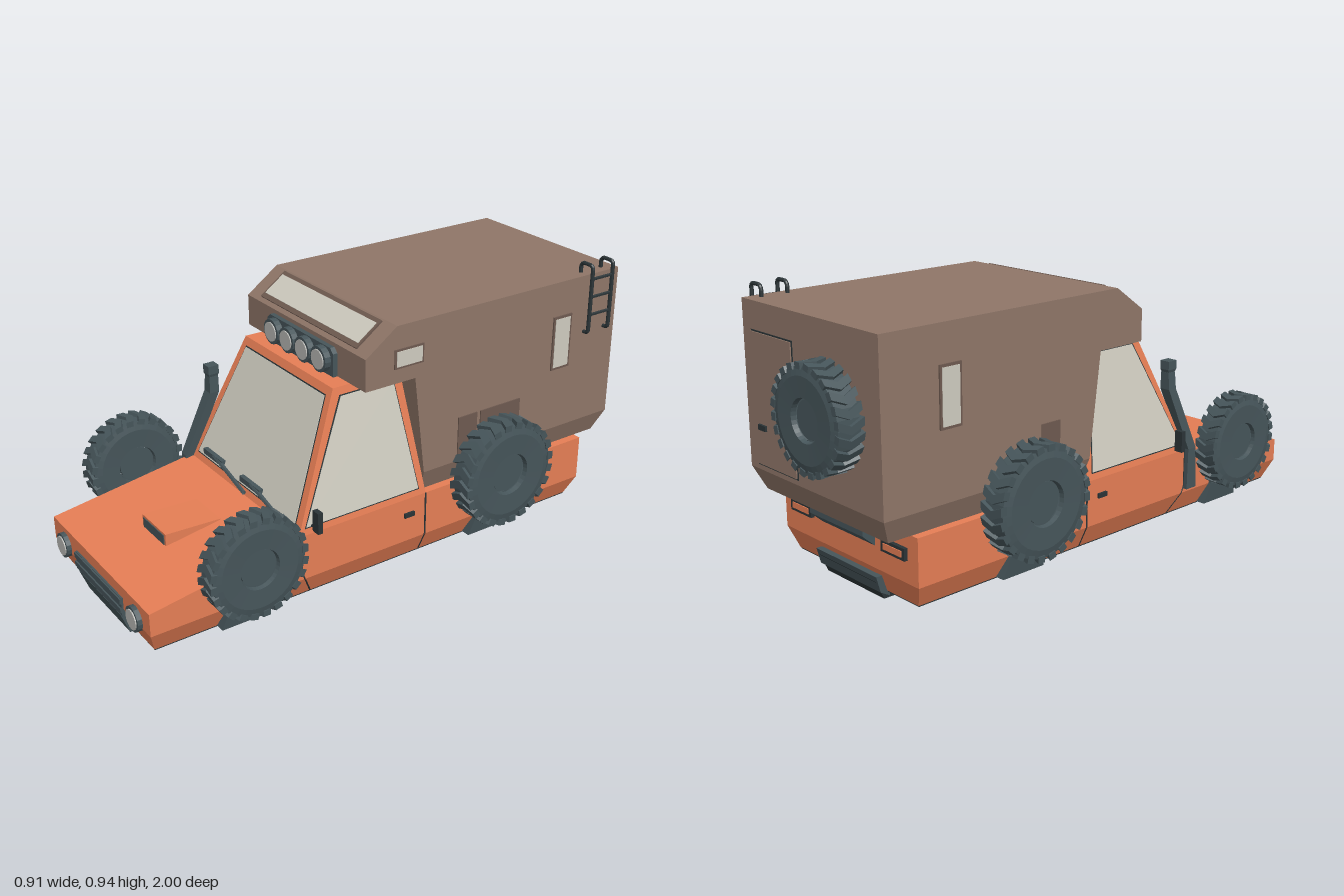
import * as THREE from 'three';
import { mergeGeometries } from 'three/addons/utils/BufferGeometryUtils.js';

const paint = (color) => new THREE.MeshStandardMaterial({ color, flatShading: true, side: THREE.DoubleSide });
const ORANGE = paint(0xe67e55), BROWN = paint(0x8f7668), TRIM = paint(0x6e5a50);
const DARK = paint(0x46555a), BLACK = paint(0x2b3437), GLASS = paint(0xcfccc0), LENS = paint(0xb9b9b5);
const V = (x, y, z) => new THREE.Vector3(x, y, z);

function add(parent, name, geometry, material) {
  const mesh = new THREE.Mesh(geometry, material);
  mesh.name = name;
  parent.add(mesh);
  return mesh;
}

// Box given by its limits on each axis
function box(parent, name, mat, [x0, x1], [y0, y1], [z0, z1]) {
  const g = new THREE.BoxGeometry(x1 - x0, y1 - y0, z1 - z0);
  g.translate((x0 + x1) / 2, (y0 + y1) / 2, (z0 + z1) / 2);
  return add(parent, name, g, mat);
}

// Solid through convex loops of corners, flipped outward if needed
function loft(parent, name, mat, loops) {
  const tris = [], n = loops[0].length, first = loops[0], last = loops[loops.length - 1];
  for (let k = 0; k + 1 < loops.length; k++)
    for (let i = 0; i < n; i++) {
      const j = (i + 1) % n, a = loops[k], b = loops[k + 1];
      tris.push([a[i], a[j], b[j]], [a[i], b[j], b[i]]);
    }
  for (let i = 1; i + 1 < n; i++)
    tris.push([first[0], first[i + 1], first[i]], [last[0], last[i], last[i + 1]]);
  const volume = tris.reduce((s, [a, b, c]) => s + a.dot(b.clone().cross(c)), 0);
  if (volume < 0) tris.forEach((t) => t.reverse());
  const g = new THREE.BufferGeometry().setFromPoints(tris.flat());
  g.computeVertexNormals();
  return add(parent, name, g, mat);
}
const rect = (y, x0, x1, z0, z1) => [V(x0, y, z0), V(x1, y, z0), V(x1, y, z1), V(x0, y, z1)];

// Plate raised from a face; corners run counter-clockwise seen from outside
function slab(parent, name, mat, c, t) {
  const n = c[1].clone().sub(c[0]).cross(c[2].clone().sub(c[0])).normalize();
  return loft(parent, name, mat, [c.map((p) => p.clone().addScaledVector(n, -0.004)), c.map((p) => p.clone().addScaledVector(n, t))]);
}

// Side profile of [z, y] points extruded across x
function profile(parent, name, mat, pts, halfX) {
  const shape = new THREE.Shape(pts.map(([z, y]) => new THREE.Vector2(-z, y)));
  const g = new THREE.ExtrudeGeometry(shape, { depth: 2 * halfX, bevelEnabled: false });
  g.translate(0, 0, -halfX).rotateY(Math.PI / 2);
  return add(parent, name, g, mat);
}

function bar(parent, name, mat, a, b, r) {
  return add(parent, name, new THREE.TubeGeometry(new THREE.LineCurve3(a, b), 1, r, 6), mat);
}

function disc(parent, name, mat, x, y, z0, z1, r) {
  const g = new THREE.CylinderGeometry(r, r, z1 - z0, 16).rotateX(Math.PI / 2);
  g.translate(x, y, (z0 + z1) / 2);
  return add(parent, name, g, mat);
}

// Off-road wheel, axle along x, with chevron tread blocks
function wheel(name, R, h) {
  const group = new THREE.Group();
  group.name = name;
  const pts = [[0.38, -0.6], [0.4, -0.95], [0.78, -1], [0.94, -0.85], [0.94, 0.85], [0.78, 1], [0.4, 0.95], [0.38, 0.6]];
  const tyre = new THREE.LatheGeometry(pts.map(([r, y]) => new THREE.Vector2(r * R, y * h)), 32);
  add(group, 'tyre', tyre.rotateZ(-Math.PI / 2), DARK);
  add(group, 'hub', new THREE.CylinderGeometry(0.355 * R, 0.355 * R, 1.2 * h, 24).rotateZ(Math.PI / 2), DARK);
  const lugs = [], count = 24;
  for (let i = 0; i < count; i++) {
    const lug = new THREE.BoxGeometry(1.96 * h, 0.12 * R, 0.15 * R, 4, 1, 1);
    const p = lug.attributes.position;
    for (let v = 0; v < p.count; v++) p.setZ(v, p.getZ(v) + Math.abs(p.getX(v)) * 0.45);
    lugs.push(lug.translate(0, 0.94 * R, 0).rotateX((i / count) * Math.PI * 2));
  }
  add(group, 'tread', mergeGeometries(lugs), DARK);
  return group;
}

export function createModel() {
  const model = new THREE.Group();
  model.name = 'camperTruck';

  // Orange body and cab
  loft(model, 'lowerBody', ORANGE, [rect(0.03, -0.315, 0.315, -0.74, 0.955), rect(0.105, -0.35, 0.35, -0.765, 0.98)]);
  profile(model, 'upperBody', ORANGE, [[0.98, 0.105], [0.98, 0.185], [0.45, 0.265], [-0.765, 0.265], [-0.765, 0.105]], 0.35);
  loft(model, 'cab', ORANGE, [rect(0.265, -0.35, 0.35, -0.055, 0.45), rect(0.7, -0.265, 0.265, 0, 0.26)]);
  const screenZ = (y) => 0.45 - ((y - 0.265) * 0.19) / 0.435;
  const screen = (x, y) => V(x, y, screenZ(y));
  slab(model, 'windscreenSeal', BLACK, [screen(-0.316, 0.286), screen(0.316, 0.286), screen(0.243, 0.674), screen(-0.243, 0.674)], 0.001);
  slab(model, 'windscreen', GLASS, [screen(-0.311, 0.29), screen(0.311, 0.29), screen(0.24, 0.67), screen(-0.24, 0.67)], 0.003);
  for (const dx of [0, 0.245]) {
    box(model, 'wiperBlade', DARK, [dx - 0.265, dx - 0.14], [0.302, 0.322], [screenZ(0.31), screenZ(0.31) + 0.016]);
    bar(model, 'wiperArm', DARK, V(dx - 0.2, 0.318, screenZ(0.318) + 0.014), V(dx + 0.025, 0.28, screenZ(0.28) + 0.014), 0.008);
  }

  // Bonnet scoop
  profile(model, 'scoop', ORANGE, [[0.78, 0.205], [0.78, 0.257], [0.58, 0.249], [0.58, 0.235]], 0.08);
  box(model, 'scoopMouth', DARK, [-0.07, 0.07], [0.216, 0.25], [0.77, 0.783]);

  // Underside, grille and rear step
  box(model, 'underside', BLACK, [-0.314, 0.314], [0.026, 0.032], [-0.738, 0.953]);
  profile(model, 'skidPlate', BLACK, [[0.955, 0], [0.985, 0.08], [-0.775, 0.065], [-0.745, 0]], 0.15);
  profile(model, 'frontGuard', DARK, [[0.958, 0], [0.988, 0.08], [0.93, 0.08], [0.93, 0]], 0.152);
  box(model, 'grille', DARK, [-0.168, 0.168], [0.08, 0.145], [0.95, 0.987]);
  for (const y of [0.092, 0.125]) box(model, 'grilleBar', DARK, [-0.168, 0.168], [y, y + 0.018], [0.95, 0.992]);
  profile(model, 'rearStep', DARK, [[-0.76, 0.27], [-0.81, 0.27], [-0.81, 0.22], [-0.76, 0.175]], 0.14);
  profile(model, 'rearGuard', DARK, [[-0.73, 0.01], [-0.765, 0.03], [-0.78, 0.085], [-0.73, 0.085]], 0.16);

  // Camper shell with overhang above the cab
  profile(model, 'camperShell', BROWN, [[0.195, 0.7], [0.195, 0.81], [0.075, 0.895], [-0.885, 0.895], [-0.885, 0.345], [-0.045, 0.345], [0, 0.7]], 0.35);
  loft(model, 'camperSkirt', BROWN, [rect(0.265, -0.32, 0.32, -0.85, -0.055), rect(0.345, -0.35, 0.35, -0.885, -0.045)]);
  const slope = (x, y) => V(x, y, 0.195 - ((y - 0.81) * 0.12) / 0.085);
  const pane = (x, y0, y1) => [slope(-x, y0), slope(x, y0), slope(x, y1), slope(-x, y1)];
  slab(model, 'skylightFrame', TRIM, pane(0.283, 0.82, 0.89), 0.006);
  slab(model, 'skylight', GLASS, pane(0.274, 0.83, 0.881), 0.008);

  // Roof lights
  const bracket = new THREE.Shape([[-0.197, 0.7], [0.197, 0.7], [0.197, 0.78], [0.18, 0.796], [-0.18, 0.796], [-0.197, 0.78]].map(([x, y]) => new THREE.Vector2(x, y)));
  add(model, 'lightBar', new THREE.ExtrudeGeometry(bracket, { depth: 0.022, bevelEnabled: false }).translate(0, 0, 0.19), DARK);
  for (let i = 0; i < 4; i++) {
    const x = (i - 1.5) * 0.0945;
    disc(model, 'roofLampRim', DARK, x, 0.75, 0.2, 0.234, 0.044);
    disc(model, 'roofLampLens', LENS, x, 0.75, 0.2, 0.238, 0.034);
  }

  // Rear door and spare wheel
  box(model, 'rearDoorGap', BLACK, [0.077, 0.303], [0.362, 0.803], [-0.887, -0.88]);
  box(model, 'rearDoor', BROWN, [0.082, 0.298], [0.367, 0.798], [-0.891, -0.88]);
  box(model, 'rearDoorHandle', BLACK, [0.235, 0.275], [0.485, 0.503], [-0.899, -0.89]);
  const spare = wheel('spareWheel', 0.17, 0.046);
  spare.rotation.y = Math.PI / 2;
  spare.position.set(-0.14, 0.625, -0.954);
  model.add(spare);
  disc(model, 'spareMount', DARK, -0.14, 0.625, -0.93, -0.88, 0.04);

  // Parts found on both sides
  const side = new THREE.Group();
  side.name = 'leftSide';
  const wall = (y, z) => V(0.35 - ((y - 0.265) * 0.085) / 0.435, y, z);
  slab(side, 'sideWindowSeal', BLACK, [wall(0.286, 0.425), wall(0.286, -0.029), wall(0.674, 0.027), wall(0.674, 0.239)], 0.001);
  slab(side, 'sideWindow', GLASS, [wall(0.29, 0.42), wall(0.29, -0.025), wall(0.67, 0.03), wall(0.67, 0.235)], 0.003);
  const tyres = [['frontWheel', 0.65, 0.272, 0.172, 0.041], ['rearWheel', -0.34, 0.29, 0.19, 0.047]];
  for (const [name, z, y, R, h] of tyres) {
    const w = wheel(name, R, h);
    w.position.set(0.408, y, z);
    side.add(w);
    loft(side, 'wheelMount', DARK, [rect(0.03, 0.3, 0.35, z - 0.088, z + 0.088), rect(0.105, 0.3, 0.362, z - 0.065, z + 0.065), rect(0.17, 0.3, 0.368, z - 0.055, z + 0.055)]);
  }
  disc(side, 'headlampRim', DARK, 0.258, 0.124, 0.96, 0.996, 0.043);
  disc(side, 'headlampLens', LENS, 0.258, 0.124, 0.96, 1, 0.034);
  box(side, 'tailLampRim', BLACK, [0.185, 0.3], [0.18, 0.22], [-0.778, -0.76]);
  box(side, 'tailLamp', ORANGE, [0.198, 0.287], [0.19, 0.21], [-0.781, -0.76]);
  box(side, 'doorSeam', BLACK, [0.345, 0.3515], [0.13, 0.265], [0.438, 0.444]);
  bar(side, 'doorSeam', BLACK, V(0.349, 0.13, 0.441), V(0.349, 0.105, 0.43), 0.003);
  bar(side, 'doorSeam', BLACK, V(0.349, 0.105, 0.43), V(0.314, 0.03, 0.39), 0.003);
  box(side, 'doorSeam', BLACK, [0.345, 0.3515], [0.105, 0.265], [-0.058, -0.052]);
  bar(side, 'doorSeam', BLACK, V(0.349, 0.105, -0.055), V(0.314, 0.03, -0.055), 0.003);
  box(side, 'doorHandle', BLACK, [0.345, 0.358], [0.197, 0.213], [-0.005, 0.035]);
  bar(side, 'mirrorArm', BLACK, V(0.34, 0.29, 0.4), V(0.368, 0.3, 0.392), 0.005);
  box(side, 'mirror', BLACK, [0.353, 0.385], [0.275, 0.35], [0.382, 0.4]);
  box(side, 'tallWindowFrame', TRIM, [0.345, 0.355], [0.575, 0.772], [-0.674, -0.591]);
  box(side, 'tallWindow', GLASS, [0.345, 0.357], [0.584, 0.763], [-0.666, -0.599]);
  box(side, 'hatch', TRIM, [0.345, 0.354], [0.346, 0.508], [-0.265, -0.185]);
  const other = side.clone();
  other.name = 'rightSide';
  other.scale.x = -1;
  model.add(side, other);

  // Left side only: small window, long hatch, ladder
  box(model, 'smallWindowFrame', TRIM, [0.345, 0.354], [0.75, 0.816], [-0.03, 0.085]);
  box(model, 'smallWindow', GLASS, [0.345, 0.356], [0.757, 0.809], [-0.023, 0.078]);
  box(model, 'longHatch', TRIM, [0.345, 0.354], [0.346, 0.508], [-0.455, -0.28]);
  const rail = [[0.315, 0.885], [0.315, 0.92], [0.325, 0.932], [0.36, 0.932], [0.371, 0.92], [0.371, 0.7], [0.362, 0.688], [0.342, 0.688]];
  for (const z of [-0.74, -0.835]) {
    const path = new THREE.CatmullRomCurve3(rail.map(([x, y]) => V(x, y, z)), false, 'catmullrom', 0.15);
    add(model, 'ladderRail', new THREE.TubeGeometry(path, 48, 0.007, 8), BLACK);
  }
  for (const y of [0.755, 0.82, 0.885]) bar(model, 'ladderRung', BLACK, V(0.371, y, -0.74), V(0.371, y, -0.835), 0.006);

  // Right side only: air intake
  loft(model, 'airIntakePipe', DARK, [
    rect(0.12, -0.366, -0.34, 0.44, 0.49), rect(0.27, -0.368, -0.335, 0.44, 0.48),
    rect(0.5, -0.345, -0.305, 0.352, 0.388), rect(0.56, -0.34, -0.307, 0.352, 0.386)]);
  loft(model, 'airIntakeHead', DARK, [rect(0.555, -0.337, -0.309, 0.355, 0.384), rect(0.57, -0.342, -0.304, 0.35, 0.39), rect(0.6, -0.342, -0.304, 0.35, 0.39)]);
  return model;
}
